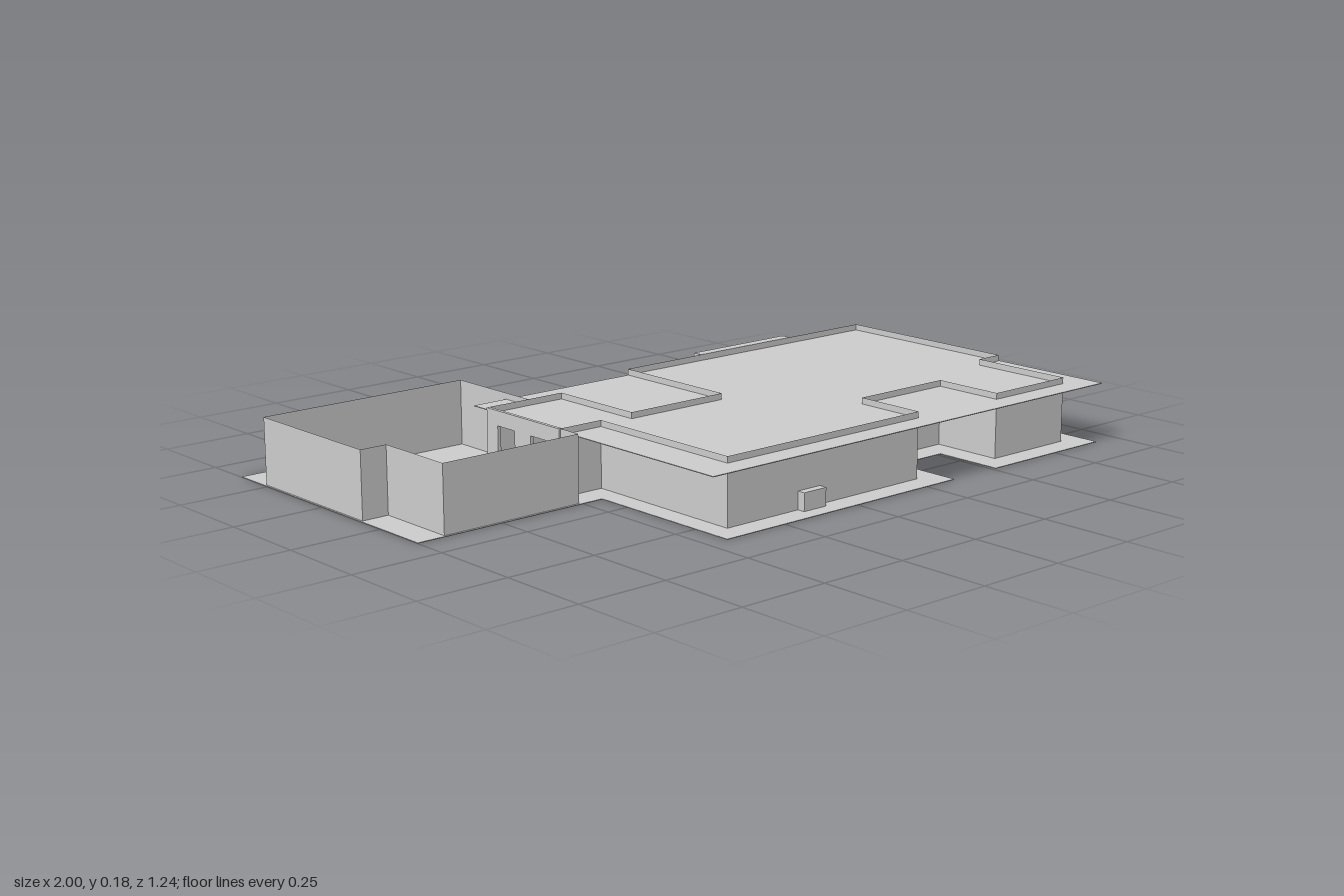
import * as THREE from 'three';

const WALL_H = 0.18;
const ROOF_Y = 0.162;

export function createModel() {
  const house = new THREE.Group();
  house.name = 'house';
  const mat = new THREE.MeshStandardMaterial({ color: 0xcccccc, side: THREE.DoubleSide, flatShading: true });

  const add = (name, geometry) => {
    const mesh = new THREE.Mesh(geometry, mat);
    mesh.name = name;
    house.add(mesh);
    return mesh;
  };

  // Box given by its extents
  const box = (name, x0, x1, y0, y1, z0, z1) =>
    add(name, new THREE.BoxGeometry(x1 - x0, y1 - y0, z1 - z0)
      .translate((x0 + x1) / 2, (y0 + y1) / 2, (z0 + z1) / 2));

  // Thin upright walls along a plan path of [x, z] points
  const walls = (name, path) => {
    const pos = [], index = [];
    for (let i = 0; i < path.length - 1; i++) {
      const [ax, az] = path[i], [bx, bz] = path[i + 1], n = i * 4;
      pos.push(ax, 0, az, bx, 0, bz, bx, WALL_H, bz, ax, WALL_H, az);
      index.push(n, n + 1, n + 2, n, n + 2, n + 3);
    }
    const g = new THREE.BufferGeometry();
    g.setAttribute('position', new THREE.Float32BufferAttribute(pos, 3));
    g.setIndex(index);
    g.computeVertexNormals();
    return add(name, g);
  };

  // Ground slab, stepped around the rooms
  const plan = [
    [-1, -0.62], [-0.335, -0.62], [-0.335, -0.28], [-0.2, -0.28], [-0.2, 0], [0, 0],
    [0, -0.4], [1, -0.4], [1, 0.26], [0.92, 0.26], [0.92, 0.615], [0.51, 0.615],
    [0.51, 0.42], [0.35, 0.42], [0.35, 0.615], [-0.44, 0.615], [-0.44, 0.155], [-1, 0.155],
  ];
  const slab = new THREE.Shape(plan.map(([x, z]) => new THREE.Vector2(x, -z)));
  add('floorSlab', new THREE.ExtrudeGeometry(slab, { depth: 0.002, bevelEnabled: false }).rotateX(-Math.PI / 2));

  // Outer walls of the roofed house
  walls('houseWalls', [
    [-0.38, -0.215], [-0.27, -0.215], [-0.27, 0.07], [0.04, 0.07], [0.04, -0.31],
    [0.93, -0.31], [0.93, 0.25], [0.85, 0.25], [0.85, 0.55], [0.58, 0.55],
    [0.58, 0.35], [0.28, 0.35], [0.28, 0.55], [-0.38, 0.55], [-0.38, 0.08], [-0.51, 0.08],
  ]);

  // Open courtyard walls
  walls('courtyardWalls', [
    [-0.51, 0.08], [-0.51, 0.15], [-0.92, 0.15], [-0.92, -0.08], [-0.995, -0.08],
    [-0.995, -0.51], [-0.38, -0.51], [-0.38, -0.215], [-0.51, -0.215],
  ]);

  // Divider between courtyard and house, with two doorways
  const divider = new THREE.Shape([[-0.215, 0], [0.08, 0], [0.08, WALL_H], [-0.215, WALL_H]]
    .map(([z, y]) => new THREE.Vector2(-z, y)));
  for (const z of [-0.135, 0.0]) {
    divider.holes.push(new THREE.Path([[-0.035, 0.002], [0.035, 0.002], [0.035, 0.14], [-0.035, 0.14]]
      .map(([u, y]) => new THREE.Vector2(u - z, y))));
  }
  add('doorwayWall', new THREE.ExtrudeGeometry(divider, { depth: 0.01, bevelEnabled: false })
    .rotateY(Math.PI / 2).translate(-0.515, 0, 0));

  // Flat overhanging roof
  box('roof', -0.485, 0.935, ROOF_Y - 0.001, ROOF_Y + 0.001, -0.31, 0.615);

  // Shallow bay on the back wall and low box on the front wall
  box('backBay', 0.31, 0.655, 0, WALL_H, -0.34, -0.31);
  box('frontBox', -0.145, -0.07, 0, 0.05, 0.55, 0.572);

  return house;
}
